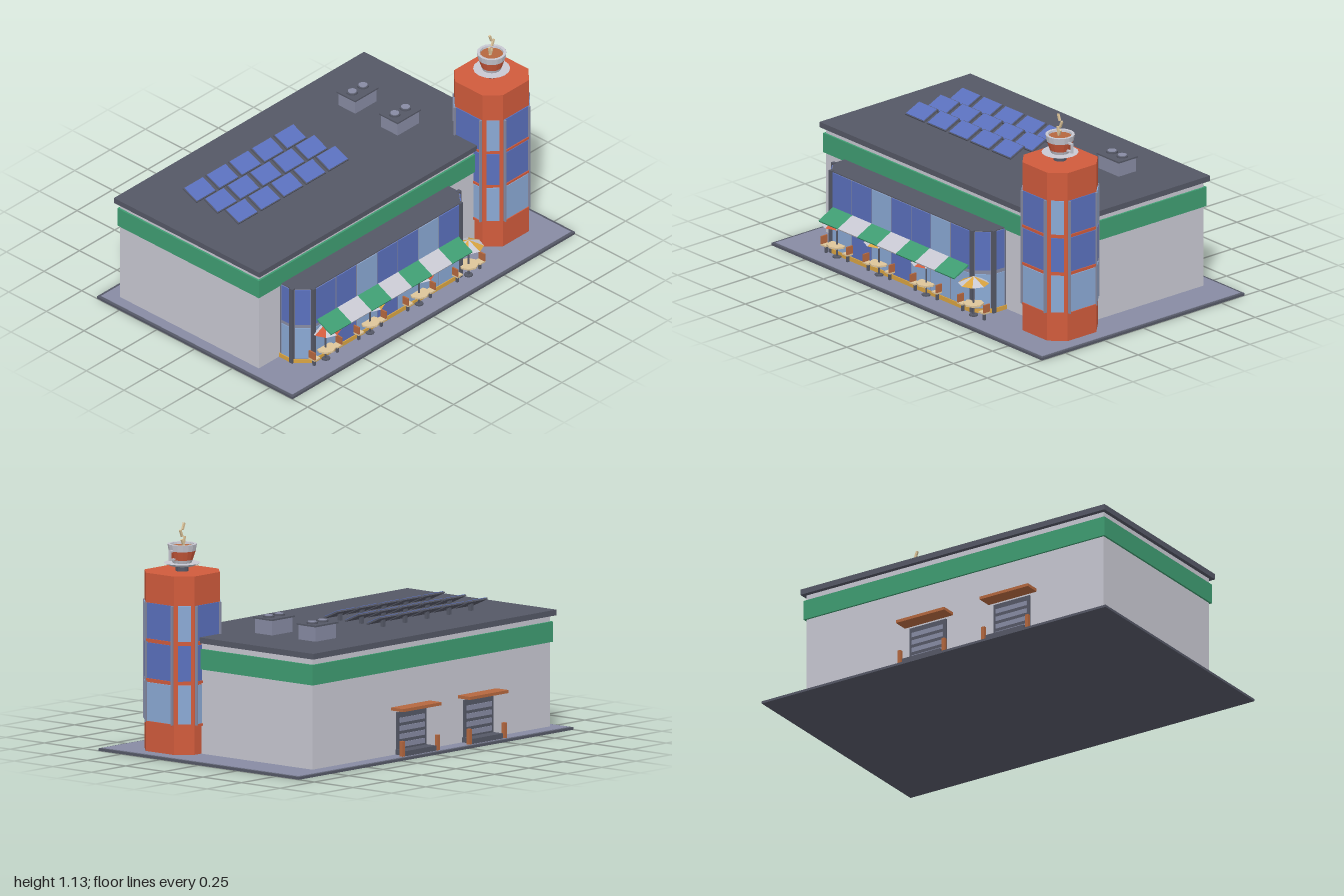
import * as THREE from 'three';

const mat = (name, color) =>
  new THREE.MeshStandardMaterial({ name, color, flatShading: true, side: THREE.DoubleSide });
const M = {
  wall: mat('pale wall', 0xc8c8d2), slate: mat('slate', 0x555866), green: mat('green', 0x3f9d72),
  red: mat('brick red', 0xd05b3c), blue: mat('blue glass', 0x5a70bd), light: mat('light glass', 0x8aa9d4),
  yellow: mat('yellow', 0xd9a442), beige: mat('beige', 0xdec59a), pave: mat('paving', 0x878ba3),
  wood: mat('wood', 0xb5683f),
};
const GROUND = 0.015;

function add(parent, name, geo, m, x = 0, y = 0, z = 0) {
  const mesh = new THREE.Mesh(geo, m);
  mesh.name = name;
  mesh.position.set(x, y, z);
  parent.add(mesh);
  return mesh;
}
// Box given by its limits on each axis
const box = (p, name, m, x0, x1, y0, y1, z0, z1) =>
  add(p, name, new THREE.BoxGeometry(x1 - x0, y1 - y0, z1 - z0), m, (x0 + x1) / 2, (y0 + y1) / 2, (z0 + z1) / 2);
const cyl = (p, name, m, r0, r1, y0, y1, x = 0, z = 0, n = 12) =>
  add(p, name, new THREE.CylinderGeometry(r1, r0, y1 - y0, n), m, x, (y0 + y1) / 2, z);
function group(parent, name, x = 0, y = 0, z = 0) {
  const g = new THREE.Group();
  g.name = name;
  g.position.set(x, y, z);
  parent.add(g);
  return g;
}
// Upright prism over an [x, z] outline
function prism(p, name, m, outline, y0, y1) {
  const shape = new THREE.Shape(outline.map(([x, z]) => new THREE.Vector2(x, -z)));
  const geo = new THREE.ExtrudeGeometry(shape, { depth: y1 - y0, bevelEnabled: false });
  geo.rotateX(-Math.PI / 2);
  return add(p, name, geo, m, 0, y0, 0);
}
// Group on an outline edge: local x runs along it, local z faces outward
function facade(parent, name, [ax, az], [bx, bz]) {
  const g = group(parent, name, (ax + bx) / 2, 0, (az + bz) / 2);
  g.rotation.y = Math.atan2(az - bz, bx - ax);
  return { g, w: Math.hypot(bx - ax, bz - az) };
}

function buildHall(root) {
  box(root, 'plinth', M.slate, -1, 1, 0, 0.012, -0.65, 0.65);
  box(root, 'pavement', M.pave, -0.985, 0.985, 0.012, GROUND, -0.635, 0.635);
  box(root, 'hallWalls', M.wall, -0.93, 0.8, GROUND, 0.56, -0.56, 0.36);
  box(root, 'greenBand', M.green, -0.94, 0.81, 0.43, 0.53, -0.57, 0.37);
  box(root, 'roof', M.slate, -0.95, 0.82, 0.56, 0.588, -0.583, 0.383);
}

function buildBay(root) {
  const bay = group(root, 'glazedBay');
  const pts = [[-0.78, 0.36], [-0.78, 0.44], [-0.71, 0.515], [0.33, 0.515], [0.4, 0.44], [0.4, 0.36]];
  prism(bay, 'bayBody', M.slate, pts, GROUND, 0.44);
  const upper = ['blue', 'blue', 'light', 'blue', 'blue', 'light', 'blue'];
  const lower = ['light', 'blue', 'light', 'blue', 'light', 'light', 'light'];
  for (let i = 0; i < 5; i++) {
    const { g, w } = facade(bay, 'baySide', pts[i], pts[i + 1]);
    const n = i === 2 ? 7 : 1, step = (w - 0.02) / n;
    box(g, 'bayFrame', M.pave, -w / 2 + 0.006, w / 2 - 0.006, 0.03, 0.435, 0, 0.003);
    box(g, 'kickStrip', M.yellow, -w / 2, w / 2, GROUND, 0.037, 0, 0.008);
    for (let k = 0; k < n; k++) {
      const x = -w / 2 + 0.01 + k * step;
      box(g, 'upperPane', M[upper[k]], x + 0.004, x + step - 0.004, 0.235, 0.435, 0, 0.006);
      box(g, 'lowerPane', M[lower[k]], x + 0.004, x + step - 0.004, 0.04, 0.215, 0, 0.006);
    }
  }
  for (const [x, z] of pts.slice(1, 5)) box(bay, 'cornerPost', M.slate, x - 0.01, x + 0.01, GROUND, 0.443, z - 0.01, z + 0.01);
  // Striped awning
  const awning = group(root, 'awning', -0.69, 0.232, 0.568);
  awning.rotation.x = 0.46;
  for (let k = 0; k < 7; k++)
    box(awning, 'awningStripe', k % 2 ? M.wall : M.green, k / 7, (k + 1) / 7, -0.004, 0.004, -0.052, 0.052);
}

function buildTower(root) {
  const t = group(root, 'tower', 0.757, 0, 0.323);
  const a = 0.162, b = 0.092;
  const pts = [[-b, a], [b, a], [a, b], [a, -b], [b, -a], [-b, -a], [-a, -b], [-a, b]];
  prism(t, 'towerShaft', M.red, pts, GROUND, 0.89);
  const floors = [[0.165, 0.355, M.light], [0.375, 0.55, M.blue], [0.57, 0.745, M.blue]];
  pts.forEach((p, i) => {
    const { g, w } = facade(t, 'towerFace', p, pts[(i + 1) % 8]);
    const flat = i % 2 === 0, h = flat ? w / 2 - 0.01 : w / 2 - 0.018;
    floors.forEach(([y0, y1, m], f) => {
      box(g, 'towerWindow', !flat && f === 2 ? M.light : m, -h, h, y0, y1, 0, 0.005);
      if (flat) box(g, 'windowSill', M.red, -h, h, y0 - 0.012, y0, 0, 0.01);
    });
    if (flat) for (const s of [-1, 1])
      box(g, 'windowPost', M.pave, s * 0.085 - 0.004, s * 0.085 + 0.004, 0.16, 0.745, 0, 0.014);
  });
  // Giant cup and saucer
  const cup = group(t, 'roofCup', 0, 0.89, 0);
  cyl(cup, 'cupStand', M.slate, 0.032, 0.032, 0, 0.026);
  cyl(cup, 'saucer', M.wall, 0.06, 0.09, 0.026, 0.04, 0, 0, 16);
  const ring = (name, m, pts) =>
    add(cup, name, new THREE.LatheGeometry(pts.map(([r, y]) => new THREE.Vector2(r, y)), 16), m);
  ring('cupFoot', M.wall, [[0, 0.04], [0.046, 0.04], [0.052, 0.056]]);
  ring('cupBand', M.red, [[0.052, 0.056], [0.066, 0.1]]);
  ring('cupRim', M.wall, [[0.066, 0.1], [0.072, 0.133], [0.058, 0.133], [0.056, 0.12]]);
  cyl(cup, 'coffee', M.wood, 0.058, 0.058, 0.116, 0.122, 0, 0, 16);
  box(cup, 'handleTop', M.wall, 0.06, 0.094, 0.1, 0.108, -0.006, 0.006);
  box(cup, 'handleBottom', M.wall, 0.055, 0.094, 0.059, 0.067, -0.006, 0.006);
  box(cup, 'handleGrip', M.wall, 0.086, 0.094, 0.059, 0.108, -0.006, 0.006);
  [[-0.014, 0.15, 0.2], [0.008, 0.185, -0.4], [-0.008, 0.217, 0.35], [-0.004, 0.137, -0.4]].forEach(([x, y, r]) => {
    add(cup, 'steam', new THREE.BoxGeometry(0.011, 0.036, 0.009), M.beige, x, y, 0).rotation.z = r;
  });
}

function buildRoofGear(root) {
  for (let r = 0; r < 3; r++) for (let c = 0; c < 5; c++) {
    const s = group(root, 'solarPanel', -0.654 + c * 0.16, 0.588, -0.292 + r * 0.139);
    box(s, 'panelLeg', M.slate, -0.009, 0.009, 0, 0.035, -0.009, 0.009);
    const tilt = group(s, 'tiltedPanel', 0, 0.037, 0);
    tilt.rotation.x = 0.42;
    box(tilt, 'panelFrame', M.slate, -0.07, 0.07, -0.005, 0.003, -0.05, 0.05);
    box(tilt, 'panelCells', M.blue, -0.065, 0.065, 0.003, 0.006, -0.046, 0.046);
  }
  for (const z of [-0.295, -0.013]) {
    const v = group(root, 'ventUnit', 0.467, 0.588, z);
    box(v, 'ventBox', M.pave, -0.075, 0.075, 0, 0.072, -0.055, 0.055);
    box(v, 'ventLid', M.slate, -0.083, 0.083, 0.072, 0.08, -0.062, 0.062);
    for (const x of [-0.038, 0.038]) {
      cyl(v, 'fanRing', M.slate, 0.029, 0.029, 0.08, 0.088, x);
      cyl(v, 'fanCap', M.pave, 0.022, 0.022, 0.088, 0.091, x);
    }
  }
}

function buildBackDoors(root) {
  for (const x of [-0.4, 0.087]) {
    const d = group(root, 'loadingDoor', x, 0, -0.56);
    box(d, 'doorFrame', M.slate, -0.105, 0.105, GROUND, 0.222, -0.01, 0);
    for (let k = 0; k < 4; k++)
      box(d, 'doorSlat', M.pave, -0.09, 0.09, 0.05 + k * 0.04, 0.074 + k * 0.04, -0.015, 0);
    box(d, 'doorStep', M.slate, -0.11, 0.11, GROUND, 0.04, -0.07, 0);
    box(d, 'doorCanopy', M.wood, -0.14, 0.14, 0.235, 0.25, -0.078, 0);
    for (const s of [-1, 1]) box(d, 'bollard', M.wood, s * 0.128 - 0.009, s * 0.128 + 0.009, GROUND, 0.09, -0.07, -0.052);
  }
}

function buildTerrace(root) {
  [-0.645, -0.333, 0.015, 0.365].forEach((x, i) => {
    const t = group(root, 'terraceTable', x, 0, 0.537);
    cyl(t, 'parasolPole', M.slate, 0.005, 0.005, GROUND, 0.215, 0, 0, 6);
    cyl(t, 'tableFoot', M.slate, 0.022, 0.022, GROUND, 0.022, 0, 0, 8);
    cyl(t, 'tableTop', M.beige, 0.05, 0.05, 0.073, 0.082, 0, 0, 8);
    // Parasol of eight two-tone segments
    for (let k = 0; k < 8; k++)
      add(t, 'parasolSegment', new THREE.ConeGeometry(0.076, 0.036, 1, 1, true, k * Math.PI / 4, Math.PI / 4),
        k % 2 ? M.wall : i % 2 ? M.yellow : M.red, 0, 0.202, 0);
    for (const s of [-1, 1]) {
      const c = group(t, 'chair', s * 0.08, 0, 0);
      box(c, 'chairSeat', M.beige, -0.019, 0.019, 0.052, 0.06, -0.02, 0.02);
      box(c, 'chairBack', M.wood, s * 0.015 - 0.004, s * 0.015 + 0.004, 0.06, 0.1, -0.02, 0.02);
      box(c, 'chairLeg', M.slate, -0.006, 0.006, GROUND, 0.052, -0.006, 0.006);
    }
  });
}

export function createModel() {
  const root = new THREE.Group();
  root.name = 'cafeBuilding';
  buildHall(root);
  buildBay(root);
  buildTower(root);
  buildRoofGear(root);
  buildBackDoors(root);
  buildTerrace(root);
  return root;
}
